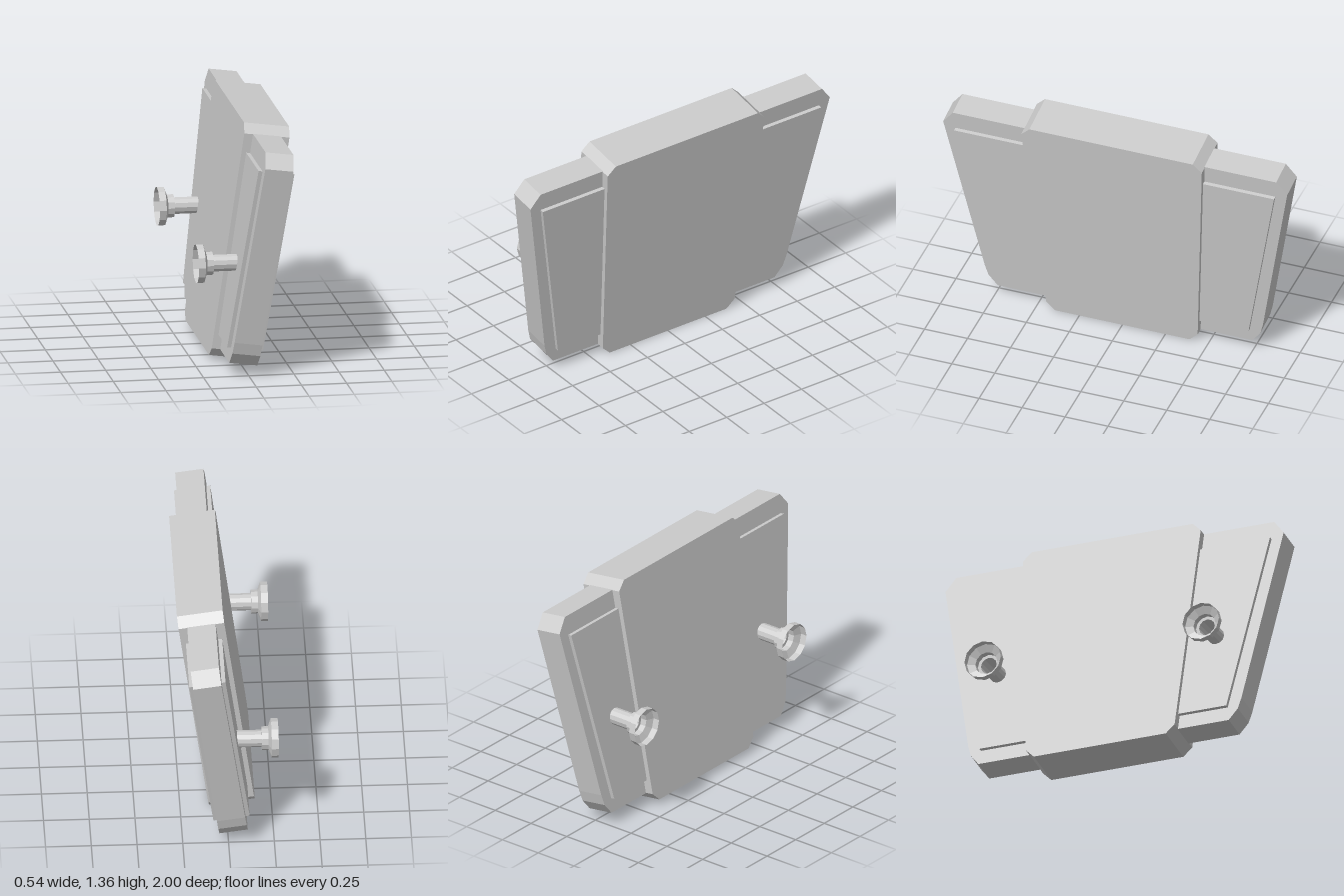
import * as THREE from 'three';

const solid = new THREE.MeshStandardMaterial({ color: 0xcccccc, flatShading: true });
const open = new THREE.MeshStandardMaterial({ color: 0xcccccc, flatShading: true, side: THREE.DoubleSide });

// Outline in the plane of the board, extruded evenly to both sides of it
function plate(name, outline, thickness) {
  const shape = new THREE.Shape(outline.map(([a, b]) => new THREE.Vector2(a, b)));
  const geometry = new THREE.ExtrudeGeometry(shape, { depth: thickness, bevelEnabled: false });
  geometry.translate(0, 0, -thickness / 2).rotateY(Math.PI / 2);
  const mesh = new THREE.Mesh(geometry, solid);
  mesh.name = name;
  return mesh;
}

export function createModel() {
  const model = new THREE.Group();
  model.name = 'tiltedPanel';

  // Board leaning towards +x
  const board = new THREE.Group();
  board.name = 'board';
  board.position.set(0.055, 0.685, 0);
  board.rotation.z = -0.135;
  model.add(board);

  // Thick central slab with cut corners
  const half = [[0.39, -0.668], [0.44, -0.618], [0.525, 0.618], [0.475, 0.668]];
  const mirrored = half.map(([a, b]) => [-a, b]).reverse();
  board.add(plate('centreSlab', [...half, ...mirrored], 0.252));

  // Thinner wings, each with a panel raised on both faces
  const wing = [[0.35, -0.62], [0.74, -0.62], [0.79, -0.555], [0.808, -0.49],
    [1.0, 0.54], [0.94, 0.62], [0.35, 0.62]];
  const panel = [[0.38, -0.537], [0.73, -0.537], [0.93, 0.51], [0.38, 0.51]];
  // Hollow knob profile: radius, position along x
  const knob = [[0.108, -0.275], [0.108, -0.237], [0.065, -0.221], [0.065, -0.185],
    [0.047, -0.185], [0.047, -0.05]].map(([r, x]) => new THREE.Vector2(r, x));

  for (const [side, s] of [['left', -1], ['right', 1]]) {
    const flip = (points) => points.map(([a, b]) => [a * s, b]);
    board.add(plate(side + 'Wing', flip(wing), 0.156));
    board.add(plate(side + 'RaisedPanel', flip(panel), 0.2));

    const mesh = new THREE.Mesh(new THREE.LatheGeometry(knob, 12).rotateZ(-Math.PI / 2), open);
    mesh.name = side + 'Knob';
    mesh.position.set(0, 0.622, -s * 0.645);
    model.add(mesh);
  }
  return model;
}
